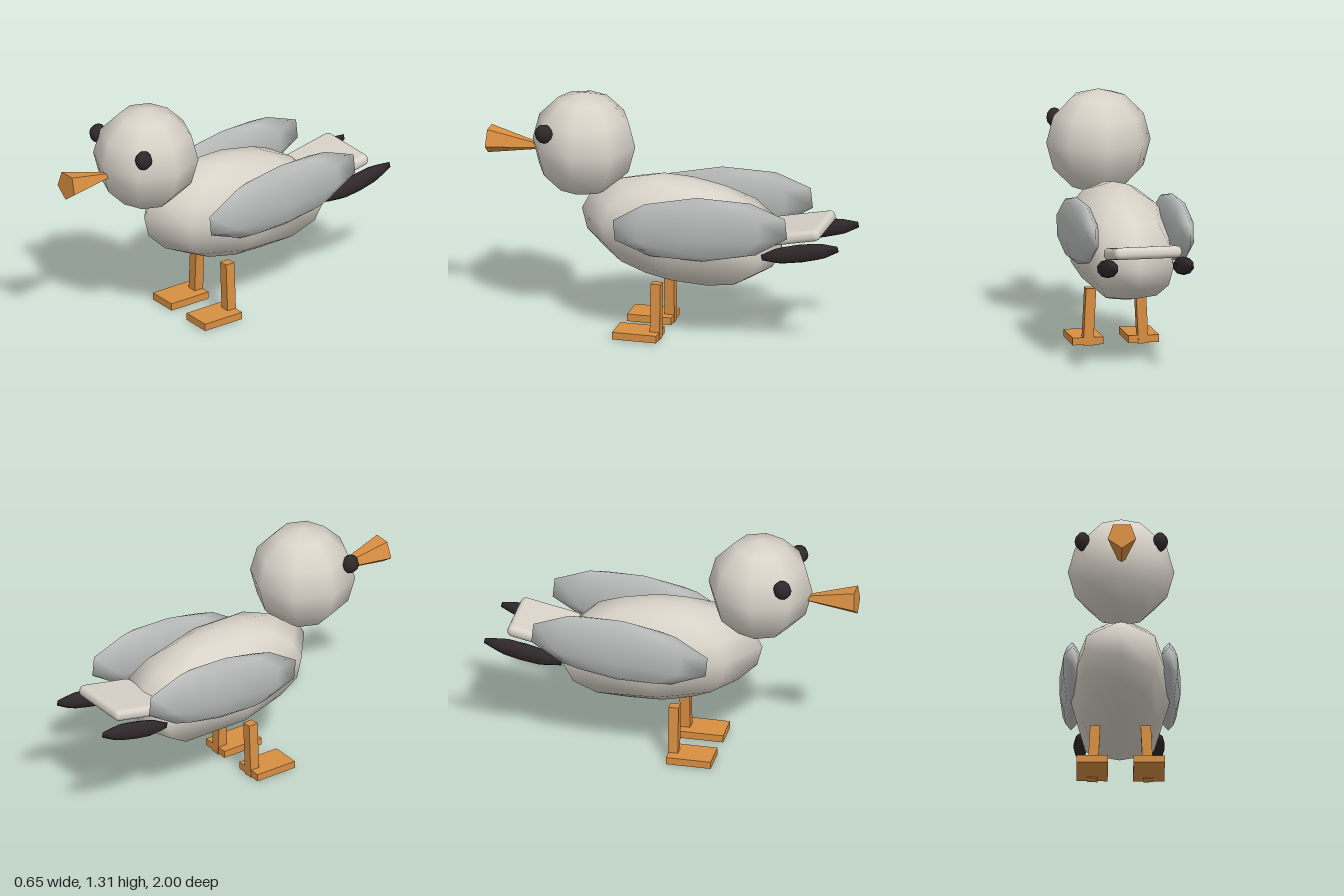
import * as THREE from 'three';
import { mergeVertices } from 'three/addons/utils/BufferGeometryUtils.js';
import { RoundedBoxGeometry } from 'three/addons/geometries/RoundedBoxGeometry.js';

const material = (name, color) => {
  const m = new THREE.MeshStandardMaterial({ color });
  m.name = name;
  return m;
};

// Smooth low-poly ellipsoid; an optional rule moves the unit-sphere vertices first
function ellipsoid(rx, ry, rz, across, rows, rule) {
  let g = new THREE.SphereGeometry(1, across, rows);
  g.deleteAttribute('uv');
  g.deleteAttribute('normal');
  g = mergeVertices(g, 1e-4);
  const p = g.attributes.position;
  const v = new THREE.Vector3();
  if (rule) {
    for (let i = 0; i < p.count; i++) {
      rule(v.fromBufferAttribute(p, i));
      p.setXYZ(i, v.x, v.y, v.z);
    }
  }
  g.scale(rx, ry, rz);
  g.computeVertexNormals();
  return g;
}

export function createModel() {
  const bird = new THREE.Group();
  bird.name = 'bird';
  const plumage = material('pale plumage', 0xd8d2c8);
  const wingGrey = material('wing grey', 0xbabdbb);
  const orange = material('orange', 0xd98f42);
  const dark = material('dark brown', 0x30282a);

  const add = (name, geometry, mat, x, y, z, rx = 0, rz = 0) => {
    const mesh = new THREE.Mesh(geometry, mat);
    mesh.name = name;
    mesh.position.set(x, y, z);
    mesh.rotation.set(rx, 0, rz);
    bird.add(mesh);
    return mesh;
  };

  // Body, with the rear corners pushed back into a broad rump
  const body = ellipsoid(0.28, 0.285, 0.56, 8, 8, (v) => {
    if (v.z < -0.01 && Math.abs(v.x) > 0.01) v.z *= 1.25;
  });
  add('body', body, plumage, 0, 0.585, -0.075, -0.12);

  // Head
  add('head', ellipsoid(0.285, 0.285, 0.285, 8, 6), plumage, 0, 1.02, 0.47);

  // Beak, flaring toward its tip
  const beak = new THREE.CylinderGeometry(0.08, 0.02, 0.27, 5).toNonIndexed();
  beak.rotateX(Math.PI / 2);
  beak.computeVertexNormals();
  add('beak', beak, orange, 0, 0.988, 0.863, -0.06);

  // Tail slab
  add('tail', new RoundedBoxGeometry(0.37, 0.065, 0.34, 2, 0.03), plumage, 0, 0.645, -0.715, 0.2);

  // Paired parts
  const eye = ellipsoid(0.043, 0.052, 0.05, 8, 6);
  const wing = ellipsoid(0.066, 0.18, 0.505, 8, 5);
  const feather = ellipsoid(0.038, 0.05, 0.228, 8, 5);
  const leg = new THREE.BoxGeometry(0.055, 0.31, 0.055);
  const foot = new THREE.BoxGeometry(0.168, 0.04, 0.245);
  for (const [side, s] of [['left', 1], ['right', -1]]) {
    add(side + 'Eye', eye, dark, s * 0.207, 1.124, 0.636);
    add(side + 'Wing', wing, wingGrey, s * 0.26, 0.682, -0.245, 0.1);
    add(side + 'TailFeather', feather, dark, s * 0.207, 0.58, -0.785, 0.2);
    add(side + 'Leg', leg, orange, s * 0.143, 0.156, 0.029, 0, s * 0.05);
    add(side + 'Foot', foot, orange, s * 0.152, 0.025, 0.127);
  }
  return bird;
}
